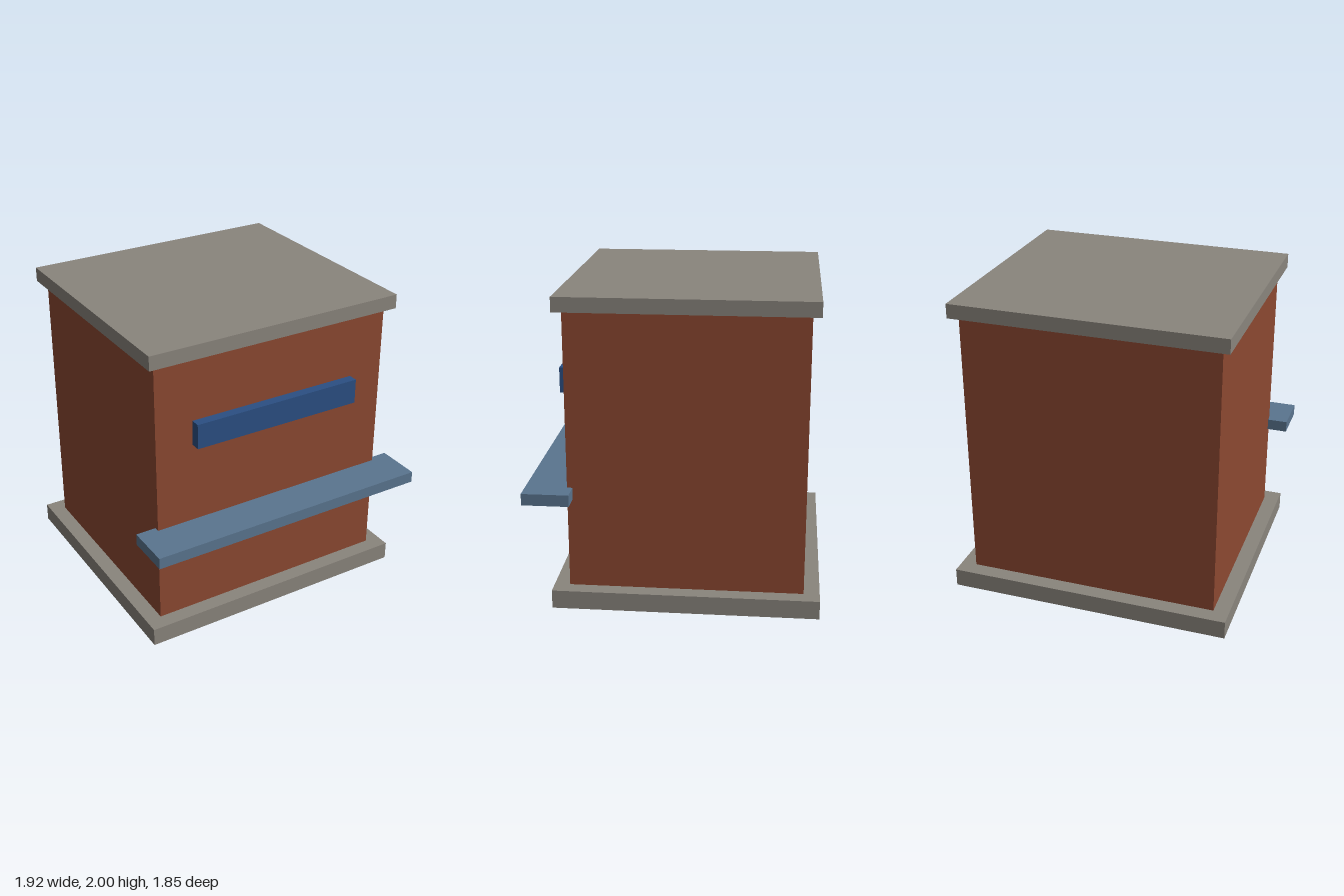
import * as THREE from 'three';

function material(name, color) {
  const m = new THREE.MeshStandardMaterial({ color });
  m.name = name;
  return m;
}

// Box centred on x, given its half width and its y and z ranges
function slab(name, mat, halfWidth, [y0, y1], [z0, z1]) {
  const mesh = new THREE.Mesh(new THREE.BoxGeometry(halfWidth * 2, y1 - y0, z1 - z0), mat);
  mesh.position.set(0, (y0 + y1) / 2, (z0 + z1) / 2);
  mesh.name = name;
  return mesh;
}

export function createModel() {
  const concrete = material('concrete grey', 0x8a857d);
  const brick = material('brick red', 0x8c4831);
  const blue = material('sign blue', 0x2b4f83);
  const steel = material('steel blue', 0x5a758f);

  const kiosk = new THREE.Group();
  kiosk.name = 'kiosk';
  kiosk.add(
    slab('foundation', concrete, 0.926, [0, 0.12], [-0.926, 0.763]),
    slab('walls', brick, 0.825, [0.12, 1.907], [-0.825, 0.664]),
    slab('roof', concrete, 0.878, [1.907, 2], [-0.878, 0.717]),
    // Counter runs past the walls on both sides and is set into the front
    slab('counter', steel, 0.958, [0.708, 0.783], [0.63, 0.927]),
    // Sign board hangs just clear of the front wall
    slab('signBoard', blue, 0.58, [1.326, 1.49], [0.676, 0.739]),
  );
  return kiosk;
}
